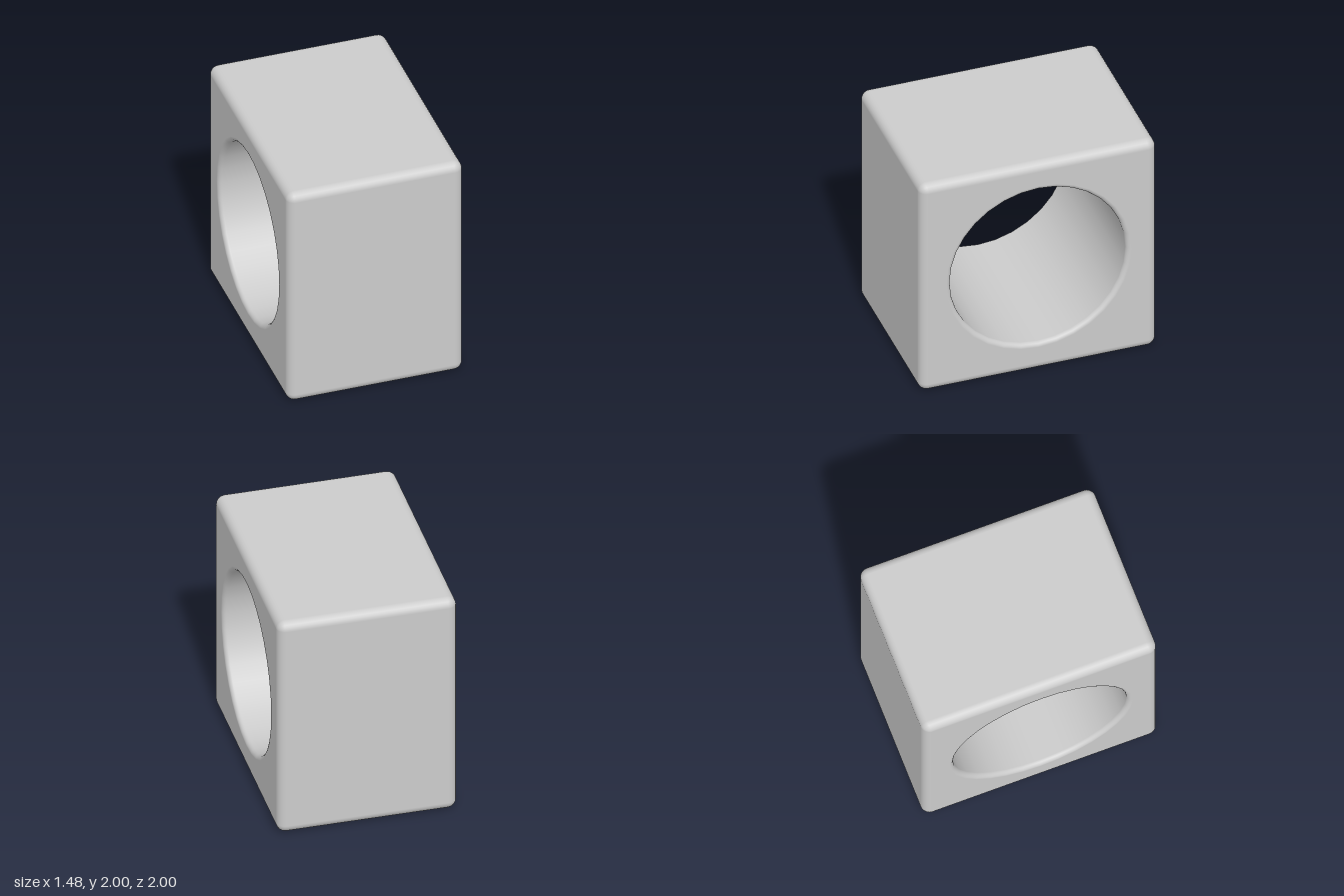
import * as THREE from 'three';

const HALF_WIDTH = 0.74, HALF = 1;              // half sizes along x, and along y and z
const EDGE = 0.075, HOLE = 0.743, LIP = 0.04;   // edge radius, hole radius, hole rim radius
const HOLE_RISE = 0.006;
const STEPS = 6, SIDE_STEPS = 8;

// One loop around the x axis: each entry pairs an outer point with a hole angle.
function makeLoop() {
  const loop = [], core = HALF - EDGE, quarter = Math.PI / 2;
  const add = (side, u, v, turn, holeTurn) => {
    const c = Math.cos(side * quarter), s = Math.sin(side * quarter);
    loop.push({
      z: u * c - v * s, y: u * s + v * c,
      angle: side * quarter + turn, holeAngle: side * quarter + holeTurn,
    });
  };
  for (let side = 0; side < 4; side++) {
    // flat side
    for (let j = 0; j <= SIDE_STEPS; j++) {
      const f = j / SIDE_STEPS - 0.5;
      add(side, core, 2 * core * f, 0, f * quarter);
    }
    // rounded corner
    for (let j = 1; j < STEPS; j++) add(side, core, core, quarter * j / STEPS, quarter / 2);
  }
  return loop;
}

// Stations run over the outside from -x to +x, then back through the hole.
function makeStations() {
  const stations = [];
  for (const hole of [false, true]) {
    const r = hole ? LIP : EDGE, dir = hole ? -1 : 1;
    for (const end of [-dir, dir]) {
      for (let i = 0; i <= STEPS; i++) {
        const k = end === -dir ? STEPS - i : i;
        const a = end * k / STEPS * Math.PI / 2;
        stations.push({ hole, a, x: end * (HALF_WIDTH - r) + r * Math.sin(a) });
      }
    }
  }
  return stations;
}

function blockGeometry() {
  const loop = makeLoop(), stations = makeStations();
  const positions = [], normals = [], index = [];
  const n = loop.length, m = stations.length;
  for (const { hole, a, x } of stations) {
    const ca = Math.cos(a), sa = Math.sin(a);
    for (const p of loop) {
      const t = hole ? p.holeAngle : p.angle;
      const c = Math.cos(t), s = Math.sin(t), sign = hole ? -1 : 1;
      const r = hole ? HOLE + LIP * (1 - ca) : EDGE * ca;
      positions.push(x, 1 + (hole ? HOLE_RISE : p.y) + r * s, (hole ? 0 : p.z) + r * c);
      normals.push(sa, sign * ca * s, sign * ca * c);
    }
  }
  for (let i = 0; i < m; i++) {
    for (let j = 0; j < n; j++) {
      const i2 = (i + 1) % m, j2 = (j + 1) % n;
      const a = i * n + j, b = i2 * n + j, c = i2 * n + j2, d = i * n + j2;
      index.push(a, b, c, a, c, d);
    }
  }
  const geometry = new THREE.BufferGeometry();
  geometry.setAttribute('position', new THREE.Float32BufferAttribute(positions, 3));
  geometry.setAttribute('normal', new THREE.Float32BufferAttribute(normals, 3));
  geometry.setIndex(index);
  return geometry;
}

export function createModel() {
  const group = new THREE.Group();
  group.name = 'boredBlock';
  // rounded block with a round hole running through it sideways
  const block = new THREE.Mesh(blockGeometry(), new THREE.MeshStandardMaterial({ color: 0xcccccc }));
  block.name = 'block';
  group.add(block);
  return group;
}
